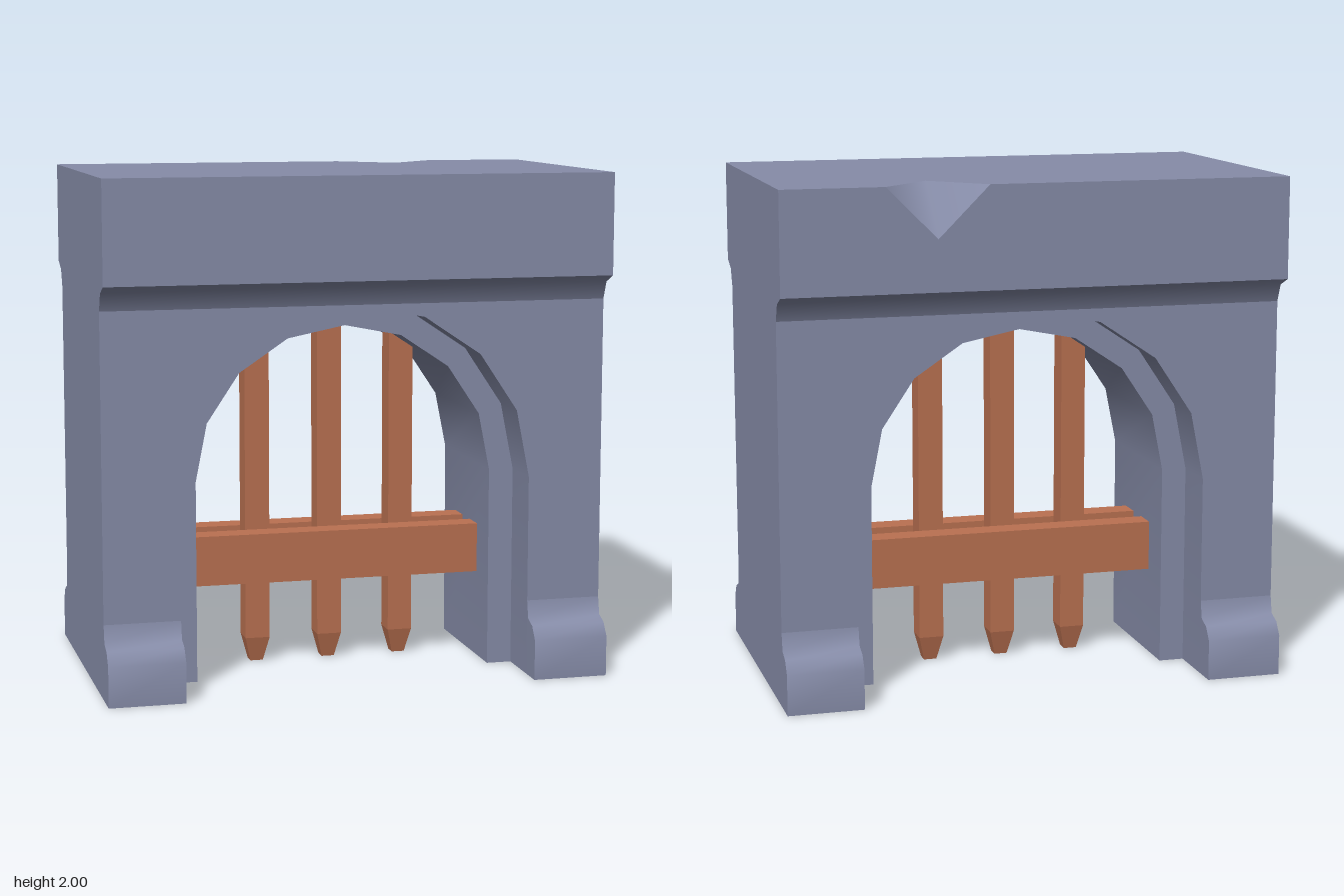
import * as THREE from 'three';
import { mergeGeometries, toCreasedNormals } from 'three/addons/utils/BufferGeometryUtils.js';

const stone = new THREE.MeshStandardMaterial({ color: 0x868ca8 });
stone.name = 'stone';
const wood = new THREE.MeshStandardMaterial({ color: 0xba7151 });
wood.name = 'wood';

const shapeOf = (points) => new THREE.Shape(points.map(([x, y]) => new THREE.Vector2(x, y)));

// Arch outline from the right foot, over the crown, to the left foot
function archPoints(radiusX, radiusY) {
  const points = [[-radiusX, 0]];
  for (let i = 0; i <= 8; i++) {
    const a = Math.PI * (1 - i / 8);
    points.push([radiusX * Math.cos(a), 0.8 + radiusY * Math.sin(a)]);
  }
  points.push([radiusX, 0]);
  return points;
}

// Extrusion centred on z = 0
function slab(points, depth, crease) {
  const geometry = new THREE.ExtrudeGeometry(shapeOf(points), { depth, bevelEnabled: false });
  geometry.translate(0, 0, -depth / 2);
  return toCreasedNormals(geometry, crease);
}

function add(parent, name, geometry, material) {
  const mesh = new THREE.Mesh(geometry, material);
  mesh.name = name;
  parent.add(mesh);
  return mesh;
}

// Cornice block with a chip broken out of its back upper edge
function corniceGeometry() {
  const top = new THREE.ShapeGeometry(shapeOf([
    [-1, -0.6], [1, -0.6], [1, 0.6], [0.6, 0.6], [0.4, 0.4], [0.2, 0.6], [-1, 0.6],
  ])).rotateX(-Math.PI / 2).translate(0, 2, 0);
  const back = new THREE.ShapeGeometry(shapeOf([
    [-1, 1.6], [1, 1.6], [1, 2], [-0.2, 2], [-0.4, 1.8], [-0.6, 2], [-1, 2],
  ])).rotateY(Math.PI).translate(0, 0, -0.6);
  const front = new THREE.PlaneGeometry(2, 0.4).translate(0, 1.8, 0.6);
  const bottom = new THREE.PlaneGeometry(2, 1.2).rotateX(Math.PI / 2).translate(0, 1.6, 0);
  const sides = [1, -1].map((s) =>
    new THREE.PlaneGeometry(1.2, 0.4).rotateY(s * Math.PI / 2).translate(s, 1.8, 0));
  return mergeGeometries([top, back, front, bottom, ...sides]);
}

// The two slanting faces inside the chip
function chipGeometry() {
  const geometry = new THREE.BufferGeometry();
  geometry.setAttribute('position', new THREE.Float32BufferAttribute([
    0.6, 2, -0.6, 0.4, 2, -0.4, 0.4, 1.8, -0.6, 0.2, 2, -0.6,
  ], 3));
  geometry.setIndex([0, 2, 1, 3, 1, 2]);
  geometry.computeVertexNormals();
  return geometry;
}

// Moulding profile (z, y) run along x
function moulding(points, length) {
  return slab(points, length, Math.PI / 3).rotateY(-Math.PI / 2);
}

export function createModel() {
  const model = new THREE.Group();
  model.name = 'stoneGateway';

  // Wall with the wide arch, and the narrower arch ring set back inside it
  const outer = archPoints(0.7, 0.7);
  const inner = archPoints(0.6, 0.6);
  add(model, 'wall', slab([...outer, [1, 0], [1, 1.6], [-1, 1.6], [-1, 0]], 1, Math.PI / 6), stone);
  add(model, 'archRing', slab([...outer, ...inner.reverse()], 0.6, Math.PI / 6), stone);

  add(model, 'cornice', corniceGeometry(), stone);
  add(model, 'corniceChip', chipGeometry(), stone);

  // Cove under the cornice and moulded feet, on both faces
  const cove = moulding([[0.5, 1.5], [0.53, 1.57], [0.6, 1.6], [0.5, 1.6]], 2);
  const foot = moulding([[0.5, 0], [0.6, 0], [0.6, 0.16], [0.565, 0.21], [0.515, 0.23], [0.5, 0.3]], 0.3);
  for (const turn of [0, Math.PI]) {
    const face = new THREE.Group();
    face.name = turn ? 'backMouldings' : 'frontMouldings';
    face.rotation.y = turn;
    add(face, 'cove', cove, stone);
    for (const x of [-0.85, 0.85]) add(face, 'foot', foot, stone).position.x = x;
    model.add(face);
  }

  // Raised wooden gate: uprights with tapered tips
  const gate = new THREE.Group();
  gate.name = 'gate';
  model.add(gate);
  const tip = new THREE.BoxGeometry(0.1, 0.1, 0.1).translate(0, 0.05, 0);
  const p = tip.attributes.position;
  for (let i = 0; i < p.count; i++) {
    if (p.getY(i) < 0.05) p.setXYZ(i, p.getX(i) * 0.52, 0, p.getZ(i) * 0.52);
  }
  const tipFlat = tip.toNonIndexed();
  tipFlat.computeVertexNormals();
  for (const x of [-0.3, 0, 0.3]) {
    const height = x === 0 ? 1.31 : 1.26;
    add(gate, 'upright', new THREE.BoxGeometry(0.1, height, 0.1), wood).position.set(x, 0.1 + height / 2, 0);
    add(gate, 'uprightTip', tipFlat, wood).position.x = x;
  }

  // Cross beams in front of and behind the uprights
  for (const z of [-0.1, 0.1]) {
    add(gate, 'crossBeam', new THREE.BoxGeometry(1.2, 0.2, 0.1), wood).position.set(0, 0.45, z);
  }
  return model;
}
